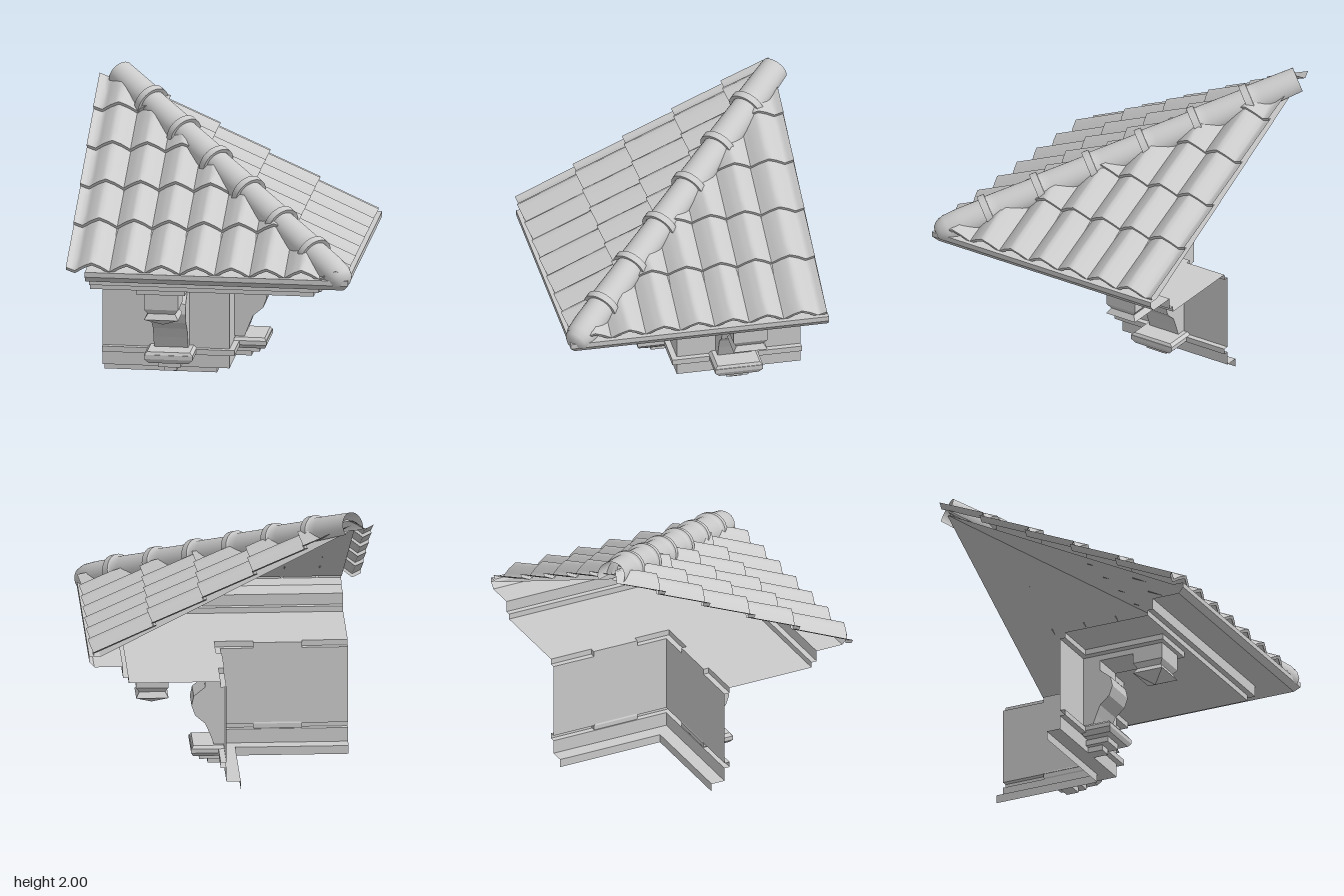
import * as THREE from 'three';
import { mergeGeometries } from 'three/addons/utils/BufferGeometryUtils.js';

const grey = new THREE.MeshStandardMaterial({ color: 0xcccccc, side: THREE.DoubleSide });
const OFF = 0.03;      // the side wall stands at x = 0.03, the front wall at z = 0
const SLOPE = 0.52;    // roof rise per unit of run
const roofY = (r) => 0.98 + SLOPE * (0.93 - r);

function mesh(name, geometry, x = 0, y = 0, z = 0) {
  const m = new THREE.Mesh(geometry, grey);
  m.name = name;
  m.position.set(x, y, z);
  return m;
}

// Grid surface from a rule: fn(i, j) -> [x, y, z]
function sheet(ni, nj, fn, flip = false) {
  const pos = [], idx = [];
  for (let j = 0; j <= nj; j++) for (let i = 0; i <= ni; i++) pos.push(...fn(i, j));
  for (let j = 0; j < nj; j++) for (let i = 0; i < ni; i++) {
    const a = j * (ni + 1) + i, b = a + 1, c = b + ni + 1, d = a + ni + 1;
    idx.push(...(flip ? [a, c, b, a, d, c] : [a, b, c, a, c, d]));
  }
  const g = new THREE.BufferGeometry();
  g.setAttribute('position', new THREE.Float32BufferAttribute(pos, 3));
  g.setIndex(idx);
  g.computeVertexNormals();
  return g;
}

// Sweep an outline of [outward distance, height] round the building corner
function cornerSweep(name, profile) {
  const g = sheet(2, profile.length - 1, (i, j) => {
    const [r, y] = profile[j];
    return [[-0.86, y, r], [r + OFF, y, r], [r + OFF, y, -0.88]][i];
  }).toNonIndexed();
  g.computeVertexNormals();
  return mesh(name, g);
}

// Box whose bottom and top have different sizes, from height y0 to y1
function taper(name, w0, d0, w1, d1, y0, y1, z) {
  const g = new THREE.BoxGeometry(1, y1 - y0, 1).toNonIndexed();
  const p = g.attributes.position;
  for (let i = 0; i < p.count; i++) {
    const top = p.getY(i) > 0;
    p.setX(i, p.getX(i) * (top ? w1 : w0));
    p.setZ(i, p.getZ(i) * (top ? d1 : d0));
  }
  g.computeVertexNormals();
  return mesh(name, g, 0, (y0 + y1) / 2, z);
}
const block = (name, w, y0, y1, z0, z1) => taper(name, w, z1 - z0, w, z1 - z0, y0, y1, (z0 + z1) / 2);

// Bracket with a scrolled console, a roof arm and a hanging pendant; wall at z = 0
function makeBracket(name) {
  const g = new THREE.Group();
  g.name = name;
  g.add(block('bracketFoot', 0.09, 0.06, 0.10, 0, 0.11));
  g.add(block('bracketFootStep', 0.16, 0.10, 0.14, 0, 0.17));
  g.add(taper('ledgeUnderside', 0.28, 0.20, 0.34, 0.23, 0.14, 0.17, 0.115));
  g.add(block('ledge', 0.34, 0.17, 0.20, 0, 0.23));
  g.add(taper('ledgeTop', 0.34, 0.23, 0.30, 0.21, 0.20, 0.22, 0.11));

  const s = new THREE.Shape();
  s.moveTo(0, 0.22);
  [[0.07, 0.22], [0.10, 0.30], [0.13, 0.37], [0.20, 0.43], [0.225, 0.50],
    [0.21, 0.57], [0.13, 0.635], [0.13, 0.71], [0, 0.71]].forEach(([r, y]) => s.lineTo(r, y));
  const console_ = new THREE.ExtrudeGeometry(s, { depth: 0.24, bevelEnabled: false });
  console_.translate(0, 0, -0.12).rotateY(-Math.PI / 2);
  g.add(mesh('console', console_));

  g.add(block('arm', 0.24, 0.71, 0.75, 0, 0.61));
  g.add(block('armCap', 0.34, 0.75, 0.79, 0, 0.64));
  g.add(block('pendantBlock', 0.24, 0.635, 0.71, 0.385, 0.61));
  g.add(taper('pendantNeckUpper', 0.19, 0.18, 0.24, 0.225, 0.60, 0.635, 0.4975));
  g.add(taper('pendantNeckLower', 0.24, 0.225, 0.19, 0.18, 0.56, 0.60, 0.4975));
  g.add(taper('pendantPoint', 0.005, 0.005, 0.24, 0.225, 0.50, 0.56, 0.4975));
  return g;
}

// Arched tile section: [across, height]
const WIDTH = 0.245;
const arch = [[-0.06, 0.03], [0, 0], [0.06, 0.047], [0.1225, 0.08], [0.185, 0.047], [WIDTH, 0]];
function archHeight(u) {
  for (let k = 1; k < arch.length; k++) {
    const [u0, h0] = arch[k - 1], [u1, h1] = arch[k];
    if (u <= u1) return h0 + (h1 - h0) * Math.max(0, (u - u0) / (u1 - u0));
  }
  return 0;
}

// Rows of tiles on one slope, trimmed at the hip
function makeTiles(name, start, hip, place, flip) {
  const edges = [0.92, 0.51, 0.16, -0.19, -0.54, -0.88];
  const parts = [];
  for (let row = 0; row < 5; row++) {
    const r0 = edges[row], r1 = edges[row + 1] - (row < 4 ? 0.03 : 0);
    for (let col = 0; col < 8; col++) {
      const a0 = start + col * WIDTH;
      if (hip(r0) <= a0) continue;
      const lip = col === 0 ? arch[0][0] : 0;
      const at = (s, t, drop) => {
        const r = r0 + (r1 - r0) * t;
        const end = Math.min(a0 + WIDTH, hip(r));
        const a = end < a0 + lip ? end : a0 + lip + (end - a0 - lip) * s;
        const h = archHeight(a - a0) - drop;
        return place(a, roofY(r) + (h - 0.035 * t) * 0.887, r + h * 0.461);
      };
      parts.push(sheet(10, 4, (i, j) => at(i / 10, j / 4, 0), flip));
      parts.push(sheet(10, 1, (i, j) => at(i / 10, 0, j ? 0 : 0.025), flip));
    }
  }
  return mesh(name, mergeGeometries(parts));
}

// Half-round hip caps, each flaring over the one below
function makeHip() {
  const g = new THREE.Group();
  g.name = 'hipCaps';
  const up = new THREE.Vector3(-1, SLOPE, -1).normalize();
  const out = new THREE.Vector3(0, 1, 0).addScaledVector(up, -up.y).normalize();
  const basis = new THREE.Matrix4().makeBasis(new THREE.Vector3().crossVectors(up, out), up, out);
  const collar = [[0.1, 0.005], [0.127, 0], [0.127, 0], [0.127, 0.05], [0.127, 0.05], [0.108, 0.055]];
  const bodies = (len) => [[0.107, 0.12], [0.103, len * 0.6], [0.098, len]];
  const add = (name, x, profile) => {
    const pts = profile.map(([r, y]) => new THREE.Vector2(r, y));
    const m = mesh(name, new THREE.LatheGeometry(pts, 20, -2.0, 4.0));
    m.quaternion.setFromRotationMatrix(basis);
    m.position.set(x, 0.975 + SLOPE * (0.95 - x), x - OFF);
    g.add(m);
  };
  add('hipEndCap', 0.965, [[0.001, 0], [0.05, 0.005], [0.08, 0.035], [0.1, 0.09], [0.105, 0.2], [0.1, 0.42]]);
  for (let k = 0; k < 6; k++) {
    add('hipCap', 0.725 - k * 0.262, [...collar, ...bodies(k < 5 ? 0.42 : 0.40)]);
  }
  return g;
}

export function createModel() {
  const model = new THREE.Group();
  model.name = 'roofCorner';

  model.add(cornerSweep('walls', [
    [-0.10, 0], [-0.10, 0.06], [0, 0.06], [0, 0.16], [0.04, 0.16], [0.04, 0.20], [0, 0.20],
    [0, 0.75], [0.04, 0.75], [0.04, 0.79]]));
  model.add(cornerSweep('eavesCornice', [
    [0.04, 0.79], [0.64, 0.79], [0.68, 0.79], [0.68, 0.83], [0.72, 0.83], [0.72, 0.91],
    [0.92, 0.91], [0.955, 0.95], [0.955, 0.985], [0.88, 0.985]]));
  model.add(cornerSweep('roofDeck', [[0.88, 0.985], [-0.87, 1.88]]));

  const front = makeBracket('frontBracket');
  front.position.set(-0.37, 0, 0);
  const side = makeBracket('sideBracket');
  side.position.set(OFF, 0, -0.395);
  side.rotation.y = Math.PI / 2;
  model.add(front, side);

  model.add(makeTiles('frontTiles', -0.935, (r) => r + OFF, (a, y, r) => [a, y, r], false));
  model.add(makeTiles('sideTiles', -0.81, (r) => r, (a, y, r) => [r + OFF, y, a], true));
  model.add(makeHip());
  return model;
}
